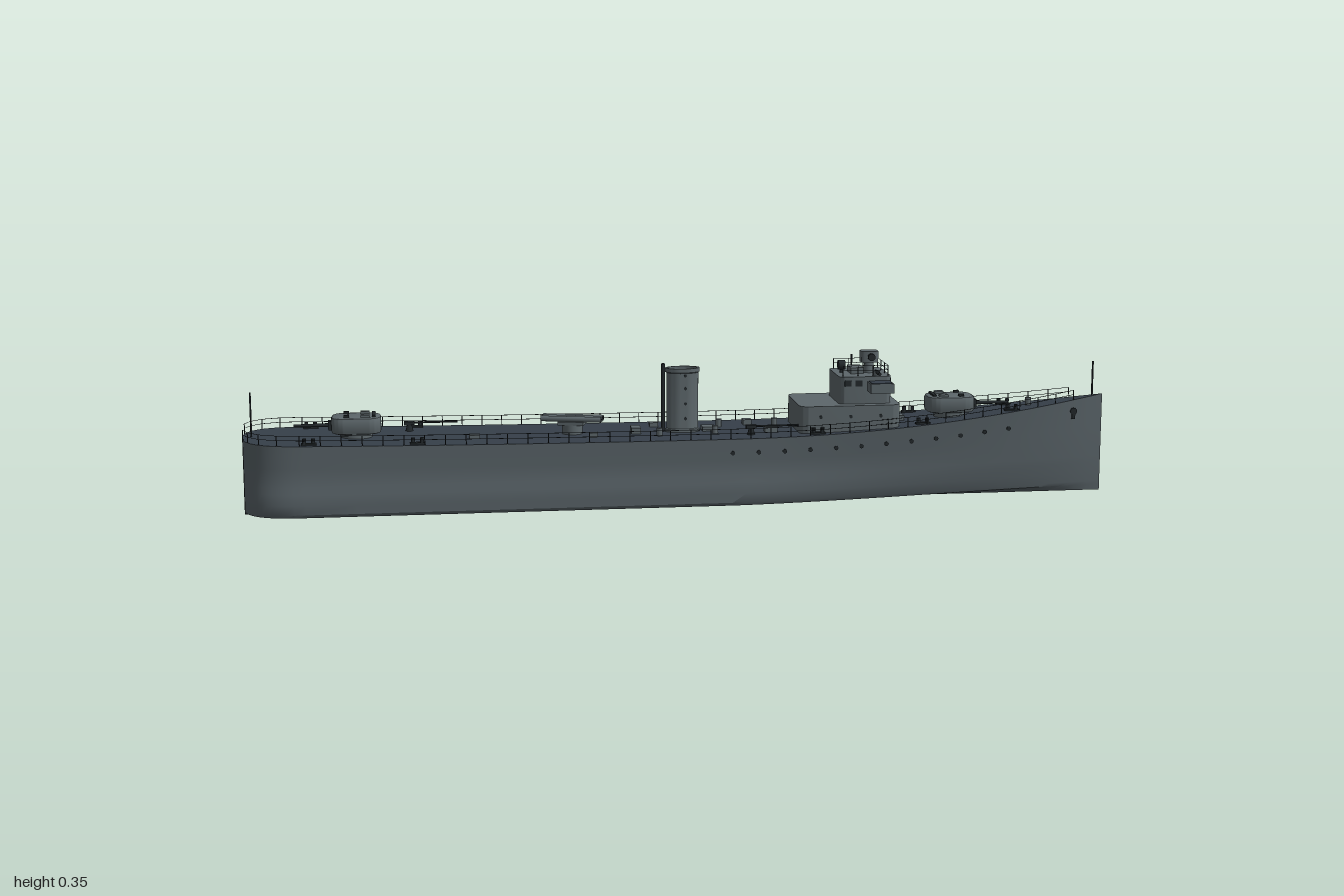
import * as THREE from 'three';
import { mergeGeometries, toCreasedNormals } from 'three/addons/utils/BufferGeometryUtils.js';

const mat = (name, color) => Object.assign(new THREE.MeshStandardMaterial({ color }), { name });

// Hull form: sheer of the deck, half widths, and cross-sections
const deckY = x => x > 0.1 ? 0.168 + 0.064 * ((x - 0.1) / 0.9) ** 2 : 0.168 + 0.011 * Math.min(1, ((0.1 - x) / 1.1) ** 2);
const stern = x => { const u = Math.min(1, Math.max(0, (-0.86 - x) / 0.14)); return (1 - u ** 2.6) ** (1 / 2.6); };
const bowT = x => Math.min(1, Math.max(0, (x - 0.1) / 0.9));
const deckW = x => 0.118 * stern(x) * (1 - bowT(x) ** 2.2);
const keelW = x => 0.118 * stern(x) * (1 - bowT(x) ** 1.5) ** 1.4;
// height, width factor, share of the deck outline
const LEVELS = [[0, 0, 0], [0.08, 0.97, 0], [0.125, 1.015, 0.05], [0.25, 1.017, 0.2], [0.4, 1.017, 0.38], [0.49, 0.98, 0.5], [0.7, 0.985, 0.72], [1, 1, 1]];
const section = x => LEVELS.map(([h, k, f]) => [h < 0.5 ? h * 0.168 : h * deckY(x), k * (keelW(x) * (1 - f) + deckW(x) * f)]);
function sideZ(x, y) {
  const s = section(x);
  const i = Math.max(1, s.findIndex(p => p[0] >= y));
  const [a, b] = [s[i - 1], s[i]];
  return a[1] + (b[1] - a[1]) * (y - a[0]) / (b[0] - a[0]);
}

const STATIONS = [];
for (let i = 0; i < 14; i++) STATIONS.push(-0.86 - 0.14 * Math.cos(i / 14 * Math.PI / 2) ** 0.77);
for (let i = 0; i <= 8; i++) STATIONS.push(-0.86 + 0.12 * i);
for (let i = 1; i <= 28; i++) STATIONS.push(0.1 + 0.9 * i / 28);

// Skin a row of equal-length rings
function skin(rings) {
  const n = rings[0].length, idx = [];
  for (let i = 0; i < rings.length - 1; i++) for (let j = 0; j < n - 1; j++) {
    const a = i * n + j, b = a + n;
    idx.push(a, b, b + 1, a, b + 1, a + 1);
  }
  const g = new THREE.BufferGeometry();
  g.setAttribute('position', new THREE.Float32BufferAttribute(rings.flat(2), 3));
  g.setIndex(idx);
  return toCreasedNormals(g, 0.6);
}

// Rounded-plan block standing on its base
function blockGeo(w, h, d, r, bevel = 0) {
  const s = new THREE.Shape(), x = w / 2 - bevel, z = d / 2 - bevel;
  s.moveTo(-x + r, -z).lineTo(x - r, -z).absarc(x - r, -z + r, r, -Math.PI / 2, 0);
  s.lineTo(x, z - r).absarc(x - r, z - r, r, 0, Math.PI / 2);
  s.lineTo(-x + r, z).absarc(-x + r, z - r, r, Math.PI / 2, Math.PI);
  s.lineTo(-x, -z + r).absarc(-x + r, -z + r, r, Math.PI, Math.PI * 1.5);
  const g = new THREE.ExtrudeGeometry(s, { depth: h - 2 * bevel, bevelEnabled: bevel > 0, bevelSize: bevel, bevelThickness: bevel, bevelSegments: 2, curveSegments: 6 });
  return toCreasedNormals(g.translate(0, 0, bevel).rotateX(-Math.PI / 2), 0.6);
}

// Straight round bar between two points
function bar(a, b, r, sides = 6, r2 = r) {
  const p = new THREE.Vector3(...a), q = new THREE.Vector3(...b), d = q.clone().sub(p);
  const g = new THREE.CylinderGeometry(r2, r, d.length(), sides);
  g.applyQuaternion(new THREE.Quaternion().setFromUnitVectors(new THREE.Vector3(0, 1, 0), d.normalize()));
  return g.translate(...p.add(q).multiplyScalar(0.5).toArray());
}

// Guard rail: posts and two wires following a path
function railGeo(pts, h, r) {
  const parts = [];
  pts.forEach((p, i) => {
    parts.push(bar(p, [p[0], p[1] + h, p[2]], r, 4));
    if (i) for (const k of [0.55, 1]) {
      const q = pts[i - 1];
      parts.push(bar([q[0], q[1] + h * k, q[2]], [p[0], p[1] + h * k, p[2]], r * 0.6, 4));
    }
  });
  return mergeGeometries(parts);
}

export function createModel() {
  const ship = new THREE.Group();
  ship.name = 'warship';
  const hullGrey = mat('hull grey', 0x596368), deckDark = mat('deck slate', 0x363f49);
  const upperGrey = mat('superstructure grey', 0x5d676b), dark = mat('dark fittings', 0x22282b);
  const add = (name, geo, m, x = 0, y = 0, z = 0, parent = ship) => {
    const mesh = new THREE.Mesh(geo, m);
    mesh.name = name;
    mesh.position.set(x, y, z);
    parent.add(mesh);
    return mesh;
  };
  const box = (w, h, d) => new THREE.BoxGeometry(w, h, d);
  const cyl = (r, h, n = 16, r2 = r) => new THREE.CylinderGeometry(r2, r, h, n);

  // Hull and deck
  add('hull', skin(STATIONS.map(x => {
    const s = section(x);
    return [...s.slice(1).reverse().map(([y, z]) => [x, y, -z]), ...s.map(([y, z]) => [x, y, z])];
  })), hullGrey);
  add('deck', skin(STATIONS.map(x => [[x, deckY(x), deckW(x)], [x, deckY(x), -deckW(x)]])), deckDark);

  // Fittings repeated on both sides
  for (const s of [1, -1]) {
    const side = s > 0 ? 'left' : 'right';
    const path = [-0.997, -0.985, -0.96, -0.92];
    for (let x = -0.87; x < 0.97; x += 0.046) path.push(x);
    add(side + 'GuardRail', railGeo(path.map(x => [x, deckY(x), s * deckW(x) * 0.975]), 0.023, 0.0011), dark);
    for (let i = 0; i < 12; i++) {
      const x = 0.1 + i * 0.06, y = 0.136 + 0.028 * (i / 11) ** 2;
      add(side + 'Porthole', cyl(0.005, 0.006, 12).rotateX(Math.PI / 2), dark, x, y, s * sideZ(x, y));
    }
    add(side + 'Hawsehole', cyl(0.008, 0.01, 12).rotateX(Math.PI / 2), dark, 0.925, 0.195, s * sideZ(0.925, 0.195));
    add(side + 'Anchor', box(0.008, 0.022, 0.006), dark, 0.925, 0.188, s * (sideZ(0.925, 0.188) + 0.002));
    // Mooring bollards
    for (const x of [-0.85, -0.61, 0.3, 0.55, 0.77]) {
      const y = deckY(x), z = s * (deckW(x) - 0.018);
      add('bollardBase', box(0.034, 0.004, 0.012), dark, x, y + 0.002, z);
      for (const dx of [-0.01, 0.01]) add('bollard', cyl(0.0045, 0.013, 10), dark, x + dx, y + 0.008, z);
    }
  }

  // Flagstaffs at both ends
  add('sternStaff', bar([-0.98, 0.175, 0], [-0.98, 0.28, 0], 0.0022), dark);
  add('bowStaff', bar([0.975, 0.225, 0], [0.975, 0.31, 0], 0.0022), dark);

  // Main gun turrets
  for (const [name, x, turn] of [['aftTurret', -0.745, Math.PI], ['forwardTurret', 0.63, 0]]) {
    const t = new THREE.Group();
    t.name = name;
    t.position.set(x, deckY(x) - 0.002, 0);
    t.rotation.y = turn;
    ship.add(t);
    add('turretRing', cyl(0.036, 0.016, 28), upperGrey, 0, 0.006, 0, t);
    add('gunhouse', blockGeo(0.112, 0.038, 0.08, 0.022, 0.006), upperGrey, 0, 0.012, 0, t);
    add('mantlet', box(0.014, 0.02, 0.022), dark, 0.056, 0.029, 0, t);
    add('gunBarrel', bar([0.05, 0.029, 0], [0.14, 0.029, 0], 0.0048, 10, 0.0032), dark, 0, 0, 0, t);
    for (const z of [-0.024, 0.024]) {
      add('roofHatch', box(0.02, 0.006, 0.014), upperGrey, -0.02, 0.052, z, t);
      add('sightHood', box(0.012, 0.007, 0.008), dark, 0.022, 0.052, z, t);
    }
    add('rangeBar', box(0.008, 0.005, 0.05), dark, -0.04, 0.0515, 0, t);
  }

  // Torpedo launcher, trained off the centreline
  const launcher = new THREE.Group();
  launcher.name = 'torpedoLauncher';
  launcher.position.set(-0.255, deckY(-0.255), 0);
  launcher.rotation.y = -0.28;
  ship.add(launcher);
  add('launcherBase', cyl(0.024, 0.022, 20), upperGrey, 0, 0.011, 0, launcher);
  add('launcherCradle', box(0.06, 0.008, 0.046), upperGrey, 0, 0.025, 0, launcher);
  for (const z of [-0.015, 0, 0.015]) {
    add('torpedoTube', bar([-0.07, 0.035, z], [0.07, 0.035, z], 0.0065, 12), upperGrey, 0, 0, 0, launcher);
    add('tubeMouth', bar([0.069, 0.035, z], [0.071, 0.035, z], 0.005, 12), dark, 0, 0, 0, launcher);
  }

  // Funnel with hollow top, bands and steam pipes
  const profile = [[0.041, 0], [0.04, 0.006], [0.037, 0.008], [0.037, 0.137], [0.04, 0.139], [0.04, 0.148], [0.034, 0.148], [0.034, 0.12]];
  const funnelGeo = new THREE.LatheGeometry(profile.map(p => new THREE.Vector2(...p)), 32).scale(1, 1, 0.6);
  add('funnel', toCreasedNormals(funnelGeo, 0.6), upperGrey, 0, 0.168, 0);
  add('funnelMouth', cyl(0.0345, 0.004, 32).scale(1, 1, 0.6), dark, 0, 0.29, 0);
  add('steamPipe', bar([-0.045, 0.168, 0], [-0.045, 0.326, 0], 0.0045, 10), dark);
  for (const s of [1, -1]) for (const y of [0.2, 0.235, 0.27, 0.3])
    add('funnelRung', cyl(0.0035, 0.006, 10).rotateX(Math.PI / 2), dark, 0.004, y, s * 0.0215);

  // Deckhouse
  const deckhouse = add('deckhouse', blockGeo(0.235, 0.07, 0.176, 0.02), upperGrey, 0.378, 0.163, 0);
  for (const s of [1, -1]) for (const x of [-0.07, 0, 0.07])
    add('deckhousePorthole', cyl(0.004, 0.002, 10).rotateX(Math.PI / 2), dark, x, 0.045, s * 0.0882, deckhouse);

  // Bridge, wings and windows
  add('bridge', blockGeo(0.122, 0.064, 0.132, 0.014), upperGrey, 0.416, 0.232, 0);
  for (const z of [-0.04, -0.02, 0, 0.02, 0.04]) add('bridgeWindow', box(0.003, 0.016, 0.016), dark, 0.4775, 0.281, z);
  for (const s of [1, -1]) {
    add('bridgeWing', box(0.054, 0.022, 0.042), upperGrey, 0.447, 0.274, s * 0.086);
    add('wingFloor', box(0.048, 0.002, 0.036), deckDark, 0.447, 0.2855, s * 0.086);
    for (const x of [0.375, 0.4]) add('sideWindow', box(0.016, 0.014, 0.003), dark, x, 0.281, s * 0.066);
  }
  add('bridgeRail', railGeo([[0.365, -1], [0.4, -1], [0.435, -1], [0.47, -1], [0.47, -0.35], [0.47, 0.35], [0.47, 1], [0.435, 1], [0.4, 1], [0.365, 1]]
    .map(([x, z]) => [x, 0.296, z * 0.056]), 0.024, 0.001), dark);

  // Gun director with rangefinder arms
  add('directorPedestal', cyl(0.014, 0.032, 16, 0.01), upperGrey, 0.437, 0.31, 0);
  add('director', blockGeo(0.04, 0.026, 0.032, 0.007), upperGrey, 0.437, 0.32, 0);
  add('rangefinder', bar([0.437, 0.335, -0.033], [0.437, 0.335, 0.033], 0.006, 12), upperGrey);
  for (const s of [1, -1]) add('rangefinderEnd', cyl(0.0085, 0.008, 12).rotateX(Math.PI / 2), dark, 0.437, 0.335, s * 0.03);
  for (const z of [-0.006, 0, 0.006]) add('directorSlit', box(0.003, 0.008, 0.003), dark, 0.457, 0.336, z);
  // Searchlight and bridge lockers
  add('searchlightPost', cyl(0.004, 0.018, 8), dark, 0.372, 0.303, 0);
  add('searchlight', cyl(0.011, 0.016, 14).rotateZ(Math.PI / 2), dark, 0.372, 0.314, 0);
  add('bridgeLocker', box(0.03, 0.014, 0.045), upperGrey, 0.405, 0.303, 0);
  add('sightMount', cyl(0.008, 0.01, 12), upperGrey, 0.445, 0.301, 0.05);
  add('sightTube', bar([0.445, 0.304, 0.04], [0.445, 0.304, 0.083], 0.004, 8), dark);
  add('signalPost', bar([0.4, 0.296, -0.02], [0.4, 0.335, -0.02], 0.002), dark);

  // Light guns on the open deck
  for (const [x, z] of [[-0.625, -0.058], [0.15, 0.065]]) {
    const y = deckY(x);
    add('lightGunMount', cyl(0.009, 0.016, 12, 0.005), dark, x, y + 0.008, z);
    add('lightGunBody', box(0.024, 0.008, 0.014), dark, x, y + 0.018, z);
    add('lightGunBarrel', bar([x, y + 0.019, z], [x + 0.11, y + 0.019, z], 0.0022, 8), dark);
  }
  // Vents, hatches and lockers: x, z, length, height, width
  for (const [x, z, l, h, w] of [[-0.11, 0.01, 0.022, 0.014, 0.04], [-0.06, -0.06, 0.02, 0.01, 0.016], [0.06, 0, 0.03, 0.01, 0.03],
    [-0.21, 0.05, 0.018, 0.01, 0.014], [0.2, 0.04, 0.03, 0.012, 0.016], [0.16, -0.06, 0.02, 0.012, 0.02], [-0.48, 0.04, 0.024, 0.008, 0.024], [0.51, 0, 0.02, 0.012, 0.03]])
    add('deckLocker', box(l, h, w), upperGrey, x, deckY(x) + h / 2, z);
  for (const [x, z] of [[0.07, 0.04], [0.09, -0.04], [-0.06, 0.055], [0.22, -0.03], [0.82, 0]])
    add('ventilator', cyl(0.007, 0.018, 12), upperGrey, x, deckY(x) + 0.009, z);
  return ship;
}
